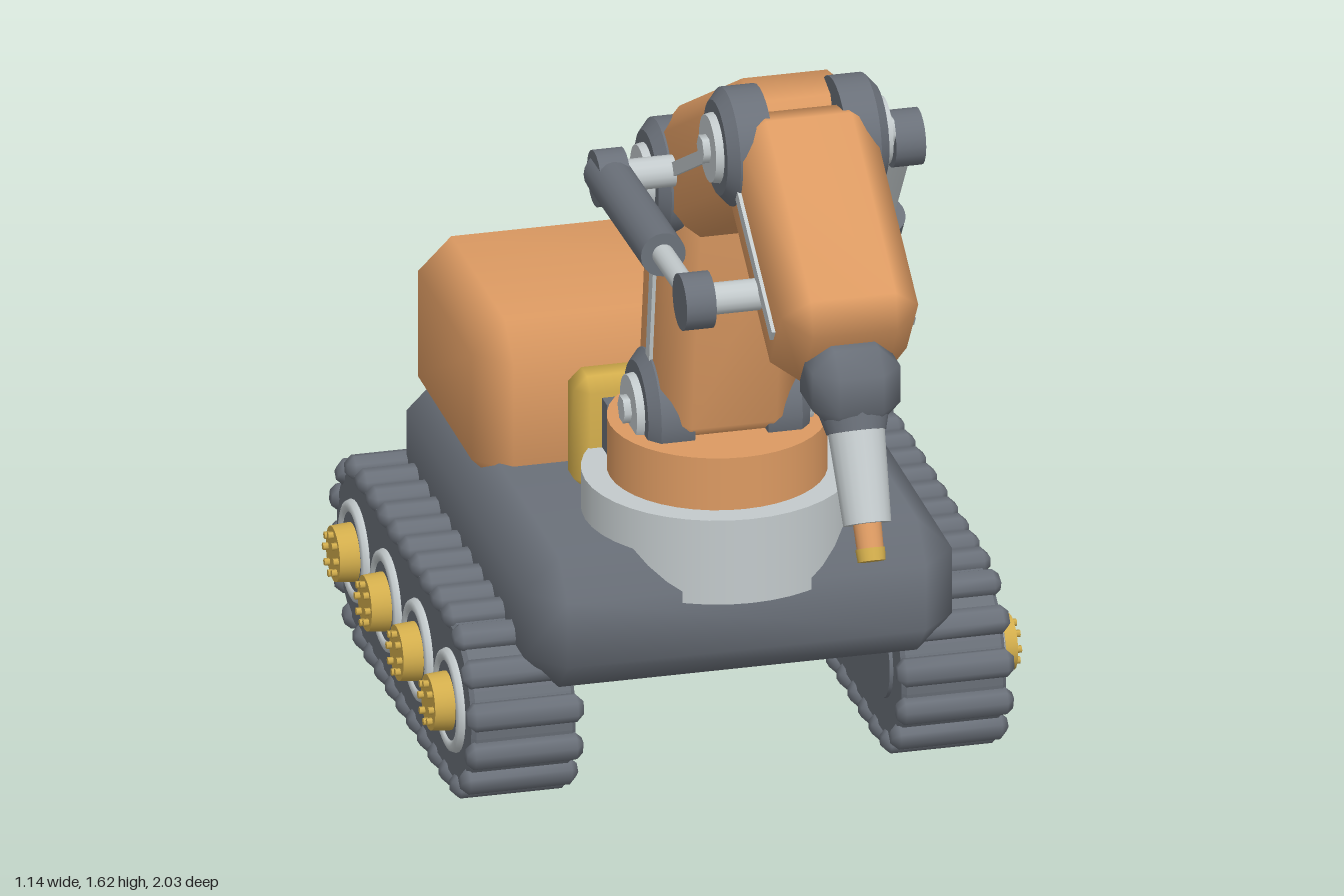
import * as THREE from 'three';
import { mergeVertices } from 'three/addons/utils/BufferGeometryUtils.js';
import { ConvexGeometry } from 'three/addons/geometries/ConvexGeometry.js';

const mat = (name, color) => Object.assign(new THREE.MeshStandardMaterial({ color }), { name });

export function createModel() {
  const orange = mat('orange paint', 0xdc9a62);
  const dark = mat('dark grey metal', 0x6a7079);
  const light = mat('light grey metal', 0xc3cacc);
  const gold = mat('gold', 0xd2ad4c);
  const root = new THREE.Group();

  const add = (parent, name, geo, material, x = 0, y = 0, z = 0) => {
    const m = new THREE.Mesh(geo, material);
    m.name = name;
    m.position.set(x, y, z);
    parent.add(m);
    return m;
  };

  // Box with one softly shaded chamfer on every edge
  const chamferBox = (w, h, d, c) => {
    const pts = [];
    for (const sx of [-1, 1]) for (const sy of [-1, 1]) for (const sz of [-1, 1])
      for (let k = 0; k < 3; k++)
        pts.push(new THREE.Vector3(
          sx * (w / 2 - (k === 0 ? 0 : c)),
          sy * (h / 2 - (k === 1 ? 0 : c)),
          sz * (d / 2 - (k === 2 ? 0 : c))));
    const g = new ConvexGeometry(pts);
    g.deleteAttribute('normal');
    const welded = mergeVertices(g, 1e-4);
    welded.computeVertexNormals();
    return welded;
  };

  // Cylinder along x from x0 to x1 on side s, radius r0 to r1
  const xCyl = (parent, name, material, s, x0, x1, r0, r1, y, z, sides = 24) => {
    const m = add(parent, name, new THREE.CylinderGeometry(r1, r0, x1 - x0, sides), material, s * (x0 + x1) / 2, y, z);
    m.rotation.z = -s * Math.PI / 2;
    return m;
  };

  // Cylinder between two points
  const rod = (parent, name, material, a, b, r0, r1 = r0, sides = 20) => {
    const dir = b.clone().sub(a);
    const m = add(parent, name, new THREE.CylinderGeometry(r1, r0, dir.length(), sides), material);
    m.position.copy(a).lerp(b, 0.5);
    m.quaternion.setFromUnitVectors(new THREE.Vector3(0, 1, 0), dir.normalize());
    return m;
  };

  // Hull and rear housing
  add(root, 'chassis', chamferBox(0.82, 0.265, 1.0, 0.067), dark, 0, 0.3875, -0.41);
  add(root, 'rearHousing', chamferBox(0.77, 0.34, 0.525, 0.064), orange, 0, 0.62, -0.658);

  // Rear vent
  add(root, 'ventFrame', chamferBox(0.41, 0.22, 0.045, 0.012), dark, 0, 0.585, -0.93);
  for (let i = 0; i < 7; i++)
    add(root, 'ventSlat', new THREE.BoxGeometry(0.36, 0.009, 0.018), light, 0, 0.507 + i * 0.026, -0.957);

  // Turntable, turret and guard
  add(root, 'turntable', new THREE.CylinderGeometry(0.253, 0.253, 0.17, 40), light, 0, 0.515, -0.13);
  add(root, 'turret', new THREE.CylinderGeometry(0.205, 0.205, 0.105, 40), orange, 0, 0.6525, -0.13);
  add(root, 'guardBracket', new THREE.BoxGeometry(0.37, 0.1, 0.035), dark, 0, 0.65, -0.248);
  add(root, 'guard', chamferBox(0.465, 0.23, 0.095, 0.025), gold, 0, 0.62, -0.313);

  // Tracks
  const cy = 0.186, front = -0.12, back = -0.815, R = 0.157;
  const belt = new THREE.Shape();
  belt.absarc(-back, cy, R - 0.008, -Math.PI / 2, Math.PI / 2, false);
  belt.absarc(-front, cy, R - 0.008, Math.PI / 2, Math.PI * 1.5, false);
  const beltGeo = new THREE.ExtrudeGeometry(belt, {
    depth: 0.184, bevelEnabled: true, bevelSize: 0.008, bevelThickness: 0.008, bevelSegments: 1, curveSegments: 16,
  });
  beltGeo.translate(0, 0, -0.092);
  beltGeo.rotateY(Math.PI / 2);
  const padGeo = chamferBox(0.222, 0.046, 0.052, 0.014);
  const straight = front - back, arc = Math.PI * R, loop = 2 * (straight + arc), pads = 30;

  for (const s of [-1, 1]) {
    const track = new THREE.Group();
    track.name = s > 0 ? 'leftTrack' : 'rightTrack';
    root.add(track);
    add(track, 'belt', beltGeo, dark, s * 0.412, 0, 0);

    // Pads follow the stadium outline; a is the angle of the outward normal from +y to +z
    for (let i = 0; i < pads; i++) {
      let d = (i + 0.5) * loop / pads, a, z0;
      if (d < straight) { a = 0; z0 = back + d; }
      else if ((d -= straight) < arc) { a = d / R; z0 = front; }
      else if ((d -= arc) < straight) { a = Math.PI; z0 = front - d; }
      else { a = Math.PI + (d - straight) / R; z0 = back; }
      const r = R + 0.004;
      add(track, 'trackPad', padGeo, dark, s * 0.412, cy + r * Math.cos(a), z0 + r * Math.sin(a)).rotation.x = a;
    }

    // Road wheels
    for (let i = 0; i < 4; i++) {
      const z = -0.112 - i * 0.2345, y = 0.19;
      const ring = add(track, 'wheelRing', new THREE.TorusGeometry(0.086, 0.013, 8, 32), light, s * 0.514, y, z);
      ring.rotation.y = Math.PI / 2;
      xCyl(track, 'wheelDisc', dark, s, 0.305, 0.52, 0.08, 0.08, y, z, 28);
      xCyl(track, 'hub', gold, s, 0.51, 0.558, 0.057, 0.053, y, z);
      for (let k = 0; k < 8; k++) {
        const t = k * Math.PI / 4;
        xCyl(track, 'hubBolt', gold, s, 0.55, 0.568, 0.007, 0.007, y + 0.038 * Math.cos(t), z + 0.038 * Math.sin(t), 6);
      }
    }
  }

  // Arm segments, laid out in the z-y plane
  const arm = new THREE.Group();
  arm.name = 'arm';
  root.add(arm);
  const beam = (name, [z0, y0], [z1, y1], before, after) => {
    const g = new THREE.Group();
    g.name = name;
    g.position.set(0, y0, z0);
    g.rotation.x = -Math.atan2(y1 - y0, z1 - z0);
    const span = Math.hypot(y1 - y0, z1 - z0), len = span + before + after;
    add(g, name + 'Body', chamferBox(0.262, 0.25, len, 0.05), orange, 0, 0, (span + after - before) / 2);
    for (const s of [-1, 1])
      add(g, name + 'Rail', new THREE.BoxGeometry(0.012, 0.026, len - 0.12), light, s * 0.132, 0, (span + after - before) / 2);
    arm.add(g);
  };
  const shoulder = [-0.13, 0.735], elbow = [-0.055, 1.233], crown = [0.455, 1.512], wrist = [0.853, 1.238];
  beam('lowerBoom', shoulder, elbow, 0.03, 0.01);
  beam('upperBoom', elbow, crown, 0.03, 0.02);
  beam('forearm', crown, wrist, 0.02, -0.005);

  // Joint discs with caps and bolts on both sides
  for (const [z, y] of [shoulder, elbow, crown])
    for (const s of [-1, 1]) {
      xCyl(arm, 'jointDisc', dark, s, 0.07, 0.135, 0.112, 0.112, y, z, 28);
      xCyl(arm, 'jointDiscBevel', dark, s, 0.135, 0.155, 0.112, 0.09, y, z, 28);
      xCyl(arm, 'jointCap', light, s, 0.15, 0.17, 0.068, 0.064, y, z);
      xCyl(arm, 'jointBolt', light, s, 0.165, 0.184, 0.027, 0.027, y, z, 6);
    }

  // Hydraulic struts: pin, knob, sleeve and rod
  const strut = (name, s, [z0, y0], [z1, y1], part) => {
    const g = new THREE.Group();
    g.name = name;
    arm.add(g);
    const a = new THREE.Vector3(s * 0.253, y0, z0), b = new THREE.Vector3(s * 0.253, y1, z1);
    for (const p of [a, b]) {
      xCyl(g, 'pin', light, s, 0.1, 0.235, 0.03, 0.03, p.y, p.z, 16);
      xCyl(g, 'knob', dark, s, 0.225, 0.282, 0.054, 0.054, p.y, p.z, 20);
    }
    rod(g, 'sleeve', dark, a.clone().lerp(b, -0.04), a.clone().lerp(b, part), 0.043);
    rod(g, 'pistonRod', light, a, b, 0.021);
  };
  strut('boomStrut', 1, [-0.118, 0.85], [0.273, 1.41], 0.6);
  strut('forearmStrut', -1, [0.05, 1.29], [0.682, 1.31], 0.63);

  // Wrist and nozzle
  const head = new THREE.Vector3(0, 1.197, 0.852);
  const along = (d) => head.clone().add(new THREE.Vector3(0, -0.885, 0.466).multiplyScalar(d));
  add(arm, 'wristBlock', chamferBox(0.168, 0.158, 0.178, 0.042), dark).position.copy(head);
  rod(arm, 'wristCollar', dark, along(0.03), along(0.1), 0.075, 0.056);
  rod(arm, 'nozzle', light, along(0.06), along(0.272), 0.055, 0.045);
  rod(arm, 'nozzleTip', orange, along(0.26), along(0.325), 0.027, 0.025);
  rod(arm, 'nozzleEnd', gold, along(0.318), along(0.342), 0.028, 0.026);

  return root;
}
